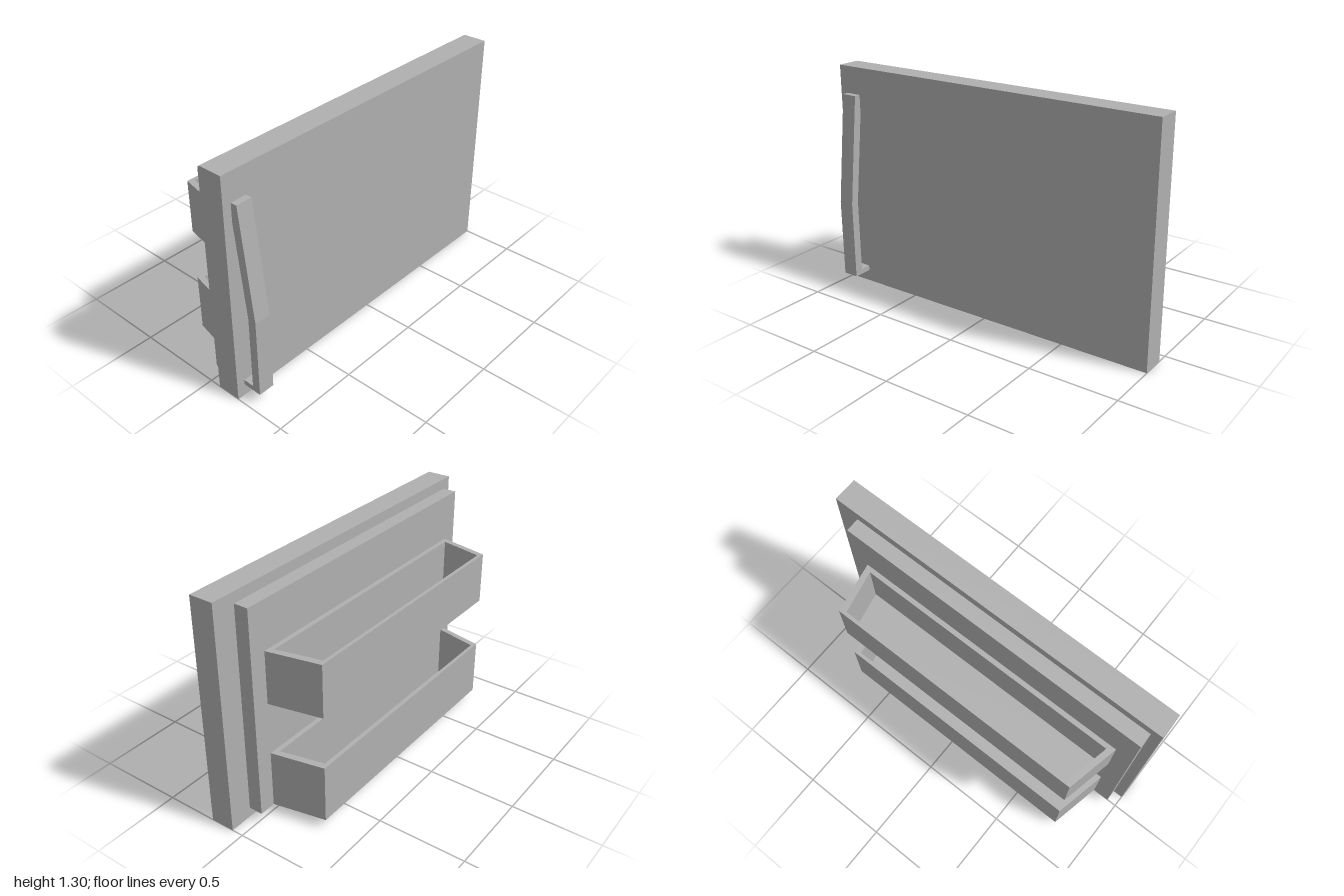
import * as THREE from 'three';

const grey = new THREE.MeshStandardMaterial({ color: 0xb0b0b0 });
grey.name = 'grey plastic';

function add(parent, name, geometry) {
  const mesh = new THREE.Mesh(geometry, grey);
  mesh.name = name;
  parent.add(mesh);
  return mesh;
}

// Box given by its limits on each axis
function slab(x0, x1, y0, y1, z0, z1) {
  return new THREE.BoxGeometry(x1 - x0, y1 - y0, z1 - z0)
    .translate((x0 + x1) / 2, (y0 + y1) / 2, (z0 + z1) / 2);
}

const points = (list) => list.map(([a, b]) => new THREE.Vector2(a, b));

// Plan outlines of a bin as (x, -z)
const OUTER = points([[-0.85, 0.015], [0.77, 0.015], [0.71, 0.31], [-0.785, 0.31]]);
const INNER = points([[-0.81, 0.042], [0.73, 0.042], [0.675, 0.29], [-0.755, 0.29]]);

function raise(shape, y0, y1) {
  return new THREE.ExtrudeGeometry(shape, { depth: y1 - y0, bevelEnabled: false })
    .rotateX(-Math.PI / 2).translate(0, y0, 0);
}

// Open-topped bin with tapered ends
function createBin(name, y0, y1) {
  const floor = 0.025;
  const bin = new THREE.Group();
  bin.name = name;
  add(bin, 'binFloor', raise(new THREE.Shape(OUTER), y0, y0 + floor));
  const rim = new THREE.Shape(OUTER);
  rim.holes.push(new THREE.Path(INNER));
  add(bin, 'binWalls', raise(rim, y0 + floor, y1));
  return bin;
}

export function createModel() {
  const model = new THREE.Group();
  model.name = 'shelvedDoor';

  add(model, 'doorPanel', slab(-1, 1, 0, 1.303, 0.065, 0.203));
  add(model, 'innerLiner', slab(-0.945, 0.865, 0.055, 1.243, -0.015, 0.065));

  model.add(createBin('lowerBin', 0.055, 0.383));
  model.add(createBin('upperBin', 0.68, 0.977));

  // Bent handle, side profile as (z, y)
  const profile = new THREE.Shape(points([
    [0.203, 0.067], [0.313, 0.067], [0.313, 0.52], [0.239, 1.147], [0.203, 1.147],
    [0.203, 1.04], [0.265, 0.525], [0.265, 0.097], [0.203, 0.097],
  ]));
  const handle = new THREE.ExtrudeGeometry(profile, { depth: 0.092, bevelEnabled: false })
    .rotateY(-Math.PI / 2).translate(-0.86, 0, 0);
  add(model, 'handle', handle);

  return model;
}
